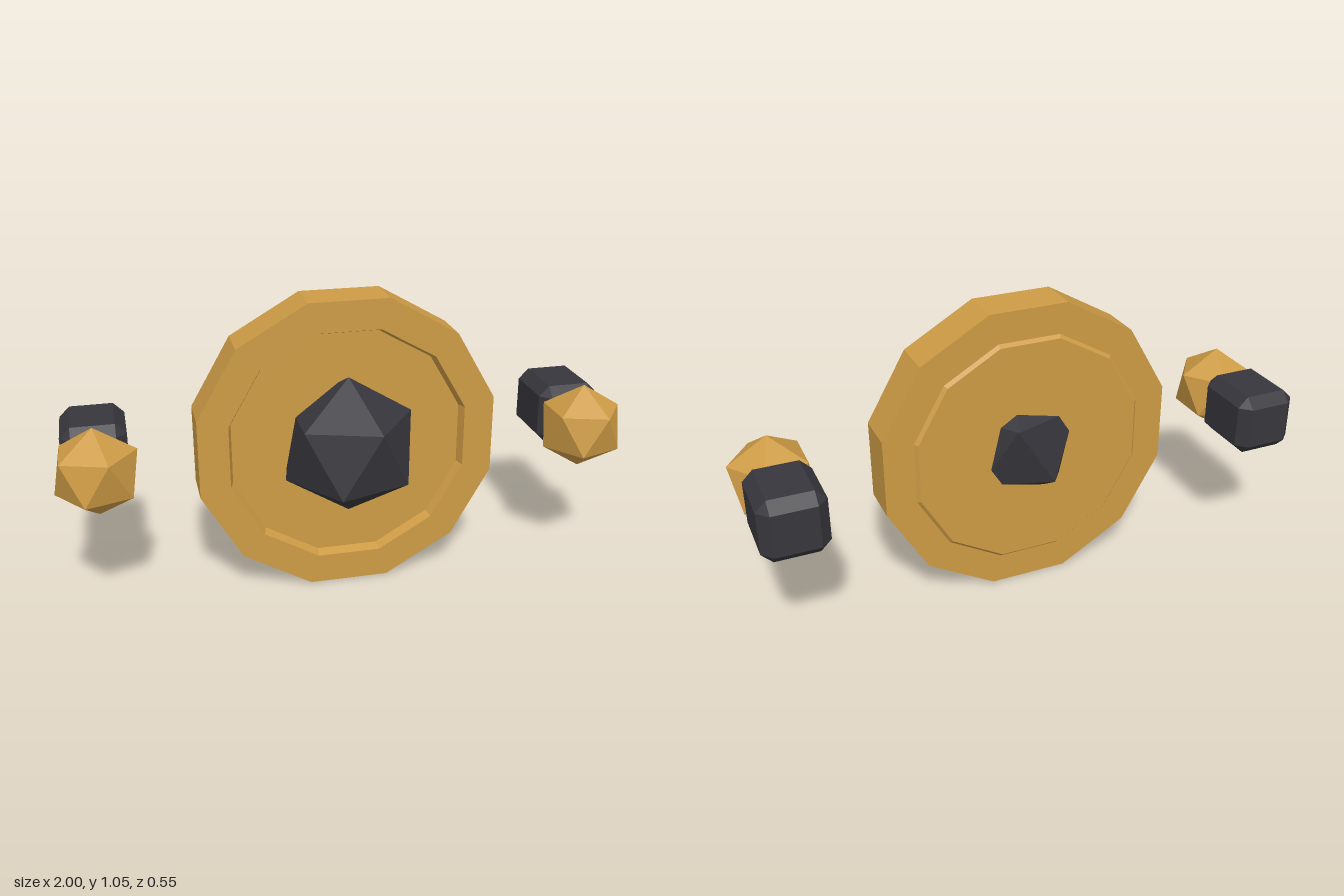
import * as THREE from 'three';
import { ConvexGeometry } from 'three/addons/geometries/ConvexGeometry.js';

const gold = new THREE.MeshStandardMaterial({ color: 0xcd9b45, flatShading: true });
const dark = new THREE.MeshStandardMaterial({ color: 0x36363c, flatShading: true });
const CENTER_Y = 0.523;

function addMesh(parent, name, geometry, material, x, y, z) {
  const mesh = new THREE.Mesh(geometry, material);
  mesh.name = name;
  mesh.position.set(x, y, z);
  parent.add(mesh);
  return mesh;
}

// Twelve-sided plate around z; profile entries are [flat-side radius, z] from back to front
function plateGeometry(profile) {
  const k = 1 / Math.cos(Math.PI / 12);
  const points = profile.map(([r, z]) => new THREE.Vector2(r * k, z));
  return new THREE.LatheGeometry(points, 12, Math.PI / 12).rotateX(Math.PI / 2);
}

// Icosahedron standing on a vertex, with an upper ring vertex towards +x
function uprightIcosahedron(r) {
  const points = [new THREE.Vector3(0, r, 0), new THREE.Vector3(0, -r, 0)];
  const h = r / Math.sqrt(5);
  for (let i = 0; i < 5; i++) {
    const a = (i * 2 * Math.PI) / 5;
    const x = 2 * h * Math.cos(a), z = 2 * h * Math.sin(a);
    points.push(new THREE.Vector3(x, h, z), new THREE.Vector3(-x, -h, -z));
  }
  return new ConvexGeometry(points);
}

// Box with every edge cut at 45 degrees
function chamferedBox(w, h, d, c) {
  const points = [];
  for (const sx of [-1, 1]) for (const sy of [-1, 1]) for (const sz of [-1, 1]) {
    const x = w / 2, y = h / 2, z = d / 2;
    points.push(
      new THREE.Vector3(sx * x, sy * (y - c), sz * (z - c)),
      new THREE.Vector3(sx * (x - c), sy * y, sz * (z - c)),
      new THREE.Vector3(sx * (x - c), sy * (y - c), sz * z)
    );
  }
  return new ConvexGeometry(points);
}

export function createModel() {
  const model = new THREE.Group();
  model.name = 'model';

  // Main plate: raised panel at the back, sunken panel at the front
  addMesh(model, 'plate', plateGeometry([
    [0, -0.093], [0.404, -0.093], [0.415, -0.081], [0.523, -0.081],
    [0.523, 0.075], [0.417, 0.075], [0.405, 0.04], [0, 0.04],
  ]), gold, 0, CENTER_Y, 0);

  // Central gem passing through the plate
  addMesh(model, 'centerGem', uprightIcosahedron(0.25), dark, 0, 0.525, 0.0625);

  // Side units: gem in front, chamfered block behind
  for (const side of [-1, 1]) {
    const unit = new THREE.Group();
    unit.name = side > 0 ? 'leftUnit' : 'rightUnit';
    unit.position.set(side * 0.86, 0.527, 0);
    addMesh(unit, 'sideGem', uprightIcosahedron(0.156), gold, 0, 0, 0.088);
    addMesh(unit, 'sideBlock', chamferedBox(0.224, 0.224, 0.274, 0.037), dark, 0, 0, -0.138);
    model.add(unit);
  }
  return model;
}
